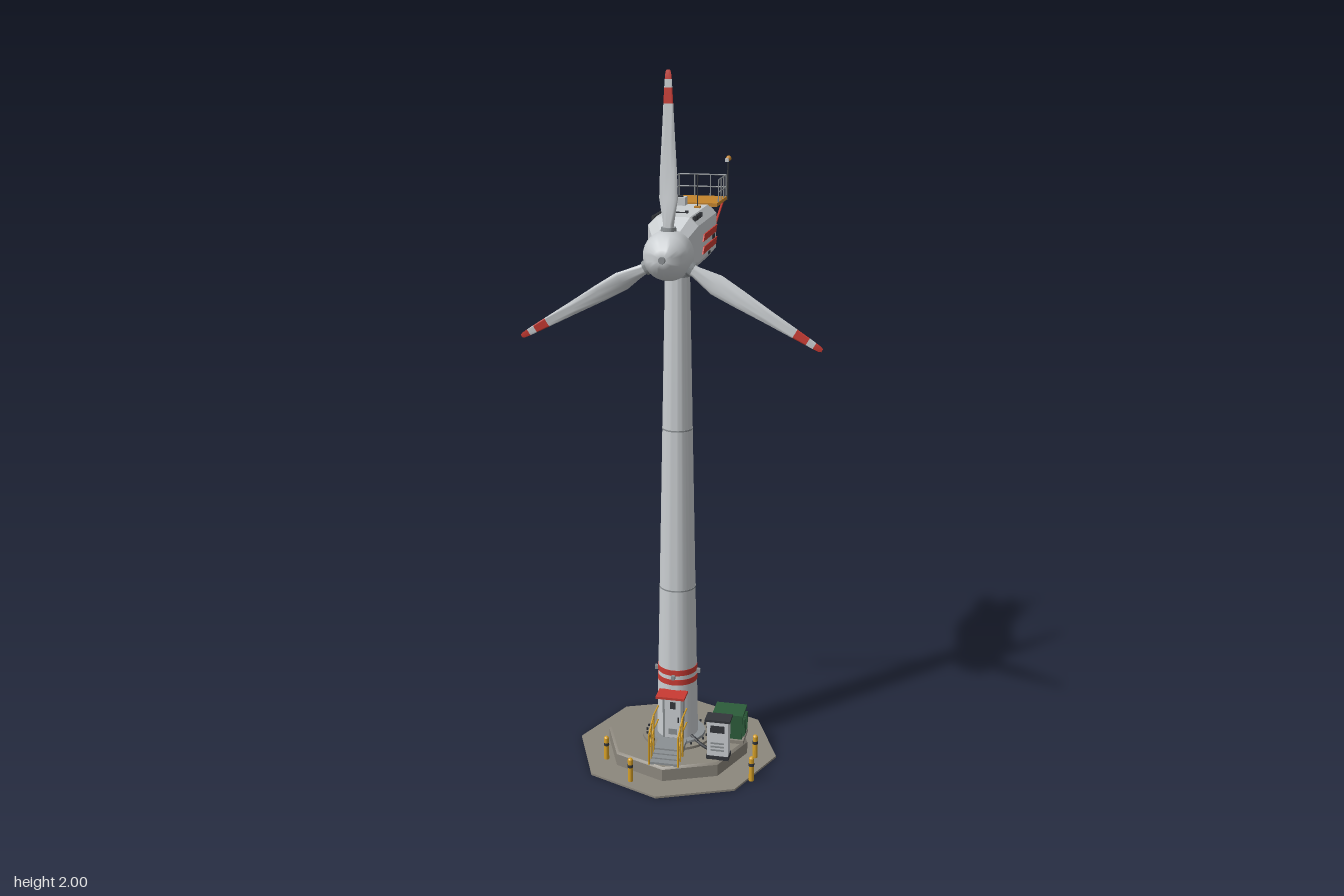
import * as THREE from 'three';
import { toCreasedNormals } from 'three/addons/utils/BufferGeometryUtils.js';

const mat = (name, color, side = THREE.FrontSide) => {
  const m = new THREE.MeshStandardMaterial({ color, side });
  m.name = name;
  return m;
};
const V = (x, y, z) => new THREE.Vector3(x, y, z);

export function createModel() {
  const shell = mat('shell light grey', 0xc9cdd0);
  const steel = mat('steel grey', 0x8b9093);
  const concrete = mat('concrete', 0x8c877d);
  const red = mat('signal red', 0xc93a32);
  const orange = mat('deck orange', 0xc4842c);
  const yellow = mat('safety yellow', 0xd6a028);
  const green = mat('transformer green', 0x2c5c3a);
  const dark = mat('dark grey', 0x33363b);

  const root = new THREE.Group();
  root.name = 'windTurbine';
  const group = (name, parent = root) => {
    const g = new THREE.Group();
    g.name = name;
    parent.add(g);
    return g;
  };
  const add = (parent, name, geo, m, x = 0, y = 0, z = 0) => {
    const mesh = new THREE.Mesh(geo, m);
    mesh.name = name;
    mesh.position.set(x, y, z);
    parent.add(mesh);
    return mesh;
  };
  const box = (p, name, m, w, h, d, x, y, z) => add(p, name, new THREE.BoxGeometry(w, h, d), m, x, y, z);
  const cyl = (p, name, m, rt, rb, h, x, y, z, n = 32) =>
    add(p, name, toCreasedNormals(new THREE.CylinderGeometry(rt, rb, h, n), 0.6), m, x, y, z);
  const rod = (p, name, m, a, b, r) => {
    const d = b.clone().sub(a);
    const mesh = cyl(p, name, m, r, r, d.length(), 0, 0, 0, 8);
    mesh.position.copy(a).addScaledVector(d, 0.5);
    mesh.quaternion.setFromUnitVectors(V(0, 1, 0), d.normalize());
    return mesh;
  };
  // Skin over rings that run counter-clockwise and advance toward +z
  const loft = (rings, crease) => {
    const pos = [], n = rings[0].length;
    const tri = (...ps) => ps.forEach(p => pos.push(p.x, p.y, p.z));
    for (let i = 0; i < rings.length - 1; i++) {
      for (let j = 0; j < n; j++) {
        const k = (j + 1) % n, A = rings[i], B = rings[i + 1];
        tri(A[j], A[k], B[k]);
        tri(A[j], B[k], B[j]);
      }
    }
    const first = rings[0], last = rings[rings.length - 1];
    for (let j = 1; j < n - 1; j++) {
      tri(first[0], first[j + 1], first[j]);
      tri(last[0], last[j], last[j + 1]);
    }
    const g = new THREE.BufferGeometry();
    g.setAttribute('position', new THREE.Float32BufferAttribute(pos, 3));
    g.computeVertexNormals();
    return toCreasedNormals(g, crease);
  };

  const CZ = 0.03; // tower axis

  // Foundation: thin octagon apron, chamfered plinth
  const base = group('foundation');
  cyl(base, 'apron', concrete, 0.3, 0.3, 0.006, 0, 0.003, CZ, 8);
  cyl(base, 'plinth', concrete, 0.213, 0.213, 0.036, 0, 0.024, CZ, 8);
  cyl(base, 'plinthTop', concrete, 0.206, 0.213, 0.006, 0, 0.045, CZ, 8);
  cyl(base, 'groutRing', concrete, 0.105, 0.105, 0.008, 0, 0.052, CZ, 48);
  cyl(base, 'footFlange', steel, 0.082, 0.084, 0.01, 0, 0.058, CZ, 48);
  for (let i = 0; i < 24; i++) {
    const a = (i + 0.5) * Math.PI / 12;
    cyl(base, 'anchorBolt', dark, 0.003, 0.003, 0.007, 0.092 * Math.cos(a), 0.059, CZ + 0.092 * Math.sin(a), 6);
  }

  // Tapered tower with seams and red warning bands
  const tower = group('tower');
  const y0 = 0.055, y1 = 1.46;
  const rad = y => 0.0615 - 0.027 * (y - y0) / (y1 - y0);
  const band = (name, m, lo, hi, out) =>
    cyl(tower, name, m, rad(hi) + out, rad(lo) + out, hi - lo, 0, (lo + hi) / 2, CZ, 40);
  band('towerTube', shell, y0, y1, 0);
  band('lowerRedBand', red, 0.235, 0.252, 0.0012);
  band('upperRedBand', red, 0.265, 0.282, 0.0012);
  for (const y of [0.53, 1.01]) band('sectionSeam', steel, y - 0.002, y + 0.002, 0.001);
  band('yawCollar', steel, 1.445, 1.47, 0.004);
  for (let i = 0; i < 4; i++) {
    const a = i * Math.PI / 2;
    box(tower, 'obstructionLight', steel, 0.011, 0.012, 0.011, 0.063 * Math.cos(a), 0.262, CZ + 0.063 * Math.sin(a));
  }

  // Entrance: door, canopy, landing, steps and handrails
  const entry = group('entrance');
  box(entry, 'doorFrame', steel, 0.062, 0.145, 0.02, 0, 0.137, 0.086);
  box(entry, 'door', shell, 0.048, 0.13, 0.006, 0, 0.135, 0.097);
  box(entry, 'doorWindow', dark, 0.016, 0.022, 0.004, 0, 0.175, 0.0995);
  box(entry, 'doorHandle', dark, 0.004, 0.016, 0.006, 0.017, 0.13, 0.101);
  box(entry, 'doorVent', steel, 0.026, 0.018, 0.003, 0, 0.09, 0.1);
  box(entry, 'canopy', red, 0.085, 0.007, 0.055, 0, 0.216, 0.112);
  box(entry, 'landing', steel, 0.084, 0.018, 0.07, 0, 0.058, 0.13);
  for (let i = 0; i < 3; i++) box(entry, 'step', steel, 0.08, 0.016 - i * 0.004, 0.02, 0, 0.054 - i * 0.002, 0.175 + i * 0.02);
  for (const s of [-1, 1]) {
    const x = s * 0.043;
    for (const [z, h] of [[0.165, 0.172], [0.195, 0.162], [0.226, 0.14]])
      rod(entry, 'railPost', yellow, V(x, 0.046, z), V(x, h, z), 0.0028);
    for (const d of [0, 0.045]) {
      rod(entry, 'handrail', yellow, V(x, 0.172 - d, 0.165), V(x, 0.14 - d, 0.226), 0.0025);
      rod(entry, 'landingRail', yellow, V(x, 0.172 - d, 0.105), V(x, 0.172 - d, 0.165), 0.0025);
    }
  }

  // Transformer
  const trafo = group('transformer');
  box(trafo, 'pad', concrete, 0.1, 0.012, 0.088, 0.155, 0.053, 0.014);
  box(trafo, 'tank', green, 0.086, 0.072, 0.072, 0.156, 0.095, 0.014);
  box(trafo, 'lid', green, 0.092, 0.006, 0.078, 0.156, 0.134, 0.014);
  for (let i = 0; i < 6; i++) box(trafo, 'coolingFin', green, 0.008, 0.054, 0.004, 0.202, 0.093, -0.014 + i * 0.011);
  box(trafo, 'warningPlate', yellow, 0.016, 0.014, 0.002, 0.156, 0.1, 0.051);

  // Control cabinet
  const cab = group('controlCabinet');
  box(cab, 'cabinetFoot', dark, 0.066, 0.012, 0.042, 0.146, 0.053, 0.142);
  box(cab, 'cabinetBody', shell, 0.062, 0.11, 0.038, 0.146, 0.114, 0.142);
  box(cab, 'cabinetRoof', dark, 0.074, 0.007, 0.048, 0.146, 0.172, 0.142);
  box(cab, 'display', dark, 0.042, 0.022, 0.003, 0.146, 0.145, 0.1615);
  for (let i = 0; i < 3; i++) box(cab, 'louvre', steel, 0.04, 0.005, 0.003, 0.146, 0.078 + i * 0.011, 0.1615);

  // Cables across the plinth
  const cable = (...pts) => add(root, 'cable',
    new THREE.TubeGeometry(new THREE.CatmullRomCurve3(pts), 16, 0.005, 8), dark);
  cable(V(0.045, 0.066, 0.062), V(0.085, 0.055, 0.095), V(0.13, 0.055, 0.13));
  cable(V(0.127, 0.055, 0.05), V(0.136, 0.055, 0.09), V(0.148, 0.055, 0.13));

  // Bollards
  for (const [x, z] of [[-0.19, 0.15], [-0.09, 0.26], [0.24, 0.05], [0.25, 0.18]]) {
    const b = group('bollard');
    cyl(b, 'post', yellow, 0.0075, 0.0075, 0.072, x, 0.039, z, 14);
    cyl(b, 'postBand', dark, 0.008, 0.008, 0.009, x, 0.055, z, 14);
    cyl(b, 'postCap', yellow, 0.004, 0.0075, 0.004, x, 0.077, z, 14);
  }

  // Nacelle housing: chamfered octagon sections [z, half width, bottom, top, chamfer]
  const nac = group('nacelle');
  const ring = ([z, w, b, t, c]) => [
    [w, b + c * 1.2], [w, t - c], [w - c, t], [c - w, t], [-w, t - c], [-w, b + c * 1.2], [c - w, b], [w - c, b],
  ].map(([x, y]) => V(x, y, z));
  add(nac, 'housing', loft([
    [-0.24, 0.056, 1.503, 1.6, 0.02], [-0.175, 0.069, 1.465, 1.614, 0.023],
    [0.085, 0.069, 1.465, 1.614, 0.023], [0.125, 0.048, 1.477, 1.582, 0.02],
  ].map(ring), 0.1), shell);
  // Side stripes with slanted ends
  const stripe = (za, zb, y, h) => {
    const s = new THREE.Shape([[za, y], [zb, y], [zb - 0.018, y + h], [za - 0.018, y + h]]
      .map(p => new THREE.Vector2(...p)));
    return new THREE.ExtrudeGeometry(s, { depth: 0.004, bevelEnabled: false }).rotateY(-Math.PI / 2);
  };
  for (const s of [-1, 1]) {
    const x = s > 0 ? 0.0725 : -0.0685;
    add(nac, 'upperStripe', stripe(-0.157, 0.03, 1.54, 0.018), red, x);
    add(nac, 'lowerStripe', stripe(-0.157, 0.035, 1.506, 0.018), red, x);
    box(nac, 'sideVent', dark, 0.004, 0.012, 0.034, s * 0.07, 1.532, -0.125);
    box(nac, 'lowerVent', dark, 0.004, 0.008, 0.03, s * 0.069, 1.496, -0.065);
    for (let i = 0; i < 5; i++)
      box(nac, 'roofVent', dark, 0.008, 0.012, 0.012, s * 0.056, 1.608, -0.014 + i * 0.022);
    // Deck struts
    rod(nac, 'deckStrut', red, V(s * 0.062, 1.605, -0.315), V(s * 0.055, 1.545, -0.225), 0.0035);
  }
  box(nac, 'rearHatch', steel, 0.045, 0.05, 0.004, 0, 1.552, -0.24);

  // Roof equipment
  box(nac, 'fanBox', shell, 0.04, 0.024, 0.034, -0.032, 1.625, -0.145);
  cyl(nac, 'fan', dark, 0.012, 0.012, 0.004, -0.032, 1.638, -0.145, 20);
  for (const [x, z] of [[-0.042, -0.066], [0.03, -0.097]]) {
    box(nac, 'antennaFoot', orange, 0.016, 0.006, 0.016, x, 1.616, z);
    rod(nac, 'antenna', dark, V(x, 1.614, z), V(x, 1.705, z), 0.0018);
  }
  box(nac, 'roofRail', dark, 0.046, 0.003, 0.003, 0, 1.6155, 0.011);
  box(nac, 'roofRailBlock', dark, 0.008, 0.007, 0.008, 0.021, 1.617, 0.009);

  // Service deck with railing
  const deck = group('serviceDeck', nac);
  box(deck, 'deckPlate', orange, 0.144, 0.01, 0.158, 0, 1.613, -0.246);
  const corners = [[-0.07, -0.2], [-0.07, -0.322], [0.07, -0.322], [0.07, -0.2]];
  for (let i = 0; i < 3; i++) {
    const [xa, za] = corners[i], [xb, zb] = corners[i + 1];
    for (const y of [1.645, 1.68]) rod(deck, 'guardRail', steel, V(xa, y, za), V(xb, y, zb), 0.002);
    for (let k = 0; k <= 3; k++) {
      const x = xa + (xb - xa) * k / 3, z = za + (zb - za) * k / 3;
      rod(deck, 'guardPost', steel, V(x, 1.616, z), V(x, 1.681, z), 0.002);
    }
  }
  // Weather mast
  rod(deck, 'mast', dark, V(0.075, 1.608, -0.322), V(0.075, 1.728, -0.322), 0.0022);
  rod(deck, 'mastArm', steel, V(0.075, 1.725, -0.322), V(0.075, 1.725, -0.285), 0.002);
  box(deck, 'windVane', shell, 0.01, 0.01, 0.012, 0.078, 1.726, -0.288);
  add(deck, 'mastLamp', new THREE.SphereGeometry(0.008, 14, 10), orange, 0.077, 1.728, -0.321);

  // Rotor
  const rotor = group('rotor');
  rotor.position.set(0, 1.52, 0.142);
  const nose = [[0, -0.035], [0.05, -0.035], [0.06, -0.028], [0.068, -0.01], [0.068, 0.01], [0.061, 0.038],
    [0.046, 0.06], [0.026, 0.076], [0.01, 0.083], [0, 0.085]].map(p => new THREE.Vector2(...p));
  add(rotor, 'spinner', toCreasedNormals(new THREE.LatheGeometry(nose, 32).rotateX(Math.PI / 2), 0.7), shell);
  cyl(rotor, 'noseCap', steel, 0.009, 0.011, 0.01, 0, 0, 0.083, 16).rotation.x = Math.PI / 2;

  // Blade stations [radius, chord, thickness, twist]
  const stations = [[0.05, 0.03, 0.03, 0.4], [0.085, 0.032, 0.026, 0.4], [0.15, 0.058, 0.016, 0.34],
    [0.22, 0.05, 0.011, 0.24], [0.31, 0.037, 0.008, 0.16], [0.395, 0.027, 0.006, 0.1],
    [0.435, 0.022, 0.005, 0.08], [0.456, 0.019, 0.004, 0.07], [0.474, 0.015, 0.003, 0.06], [0.48, 0.009, 0.002, 0.06]];
  const section = ([r, c, t, tw]) => Array.from({ length: 16 }, (_, i) => {
    const a = i * Math.PI / 8;
    const x = c / 2 * Math.cos(a), y = t / 2 * Math.sin(a);
    return V(x * Math.cos(tw) + y * Math.sin(tw), y * Math.cos(tw) - x * Math.sin(tw), r);
  });
  const span = (a, b) => loft(stations.slice(a, b + 1).map(section), 0.9).rotateX(-Math.PI / 2);
  const parts = [['bladeBody', span(0, 5), shell], ['bladeRedBand', span(5, 6), red],
    ['bladePaleBand', span(6, 7), shell], ['bladeRedTip', span(7, 9), red]];
  for (let i = 0; i < 3; i++) {
    const blade = group('blade', rotor);
    blade.rotation.z = i * Math.PI * 2 / 3;
    for (const [name, geo, m] of parts) add(blade, name, geo, m);
    cyl(blade, 'bladeCollar', steel, 0.02, 0.022, 0.018, 0, 0.066, 0, 24);
  }
  return root;
}
